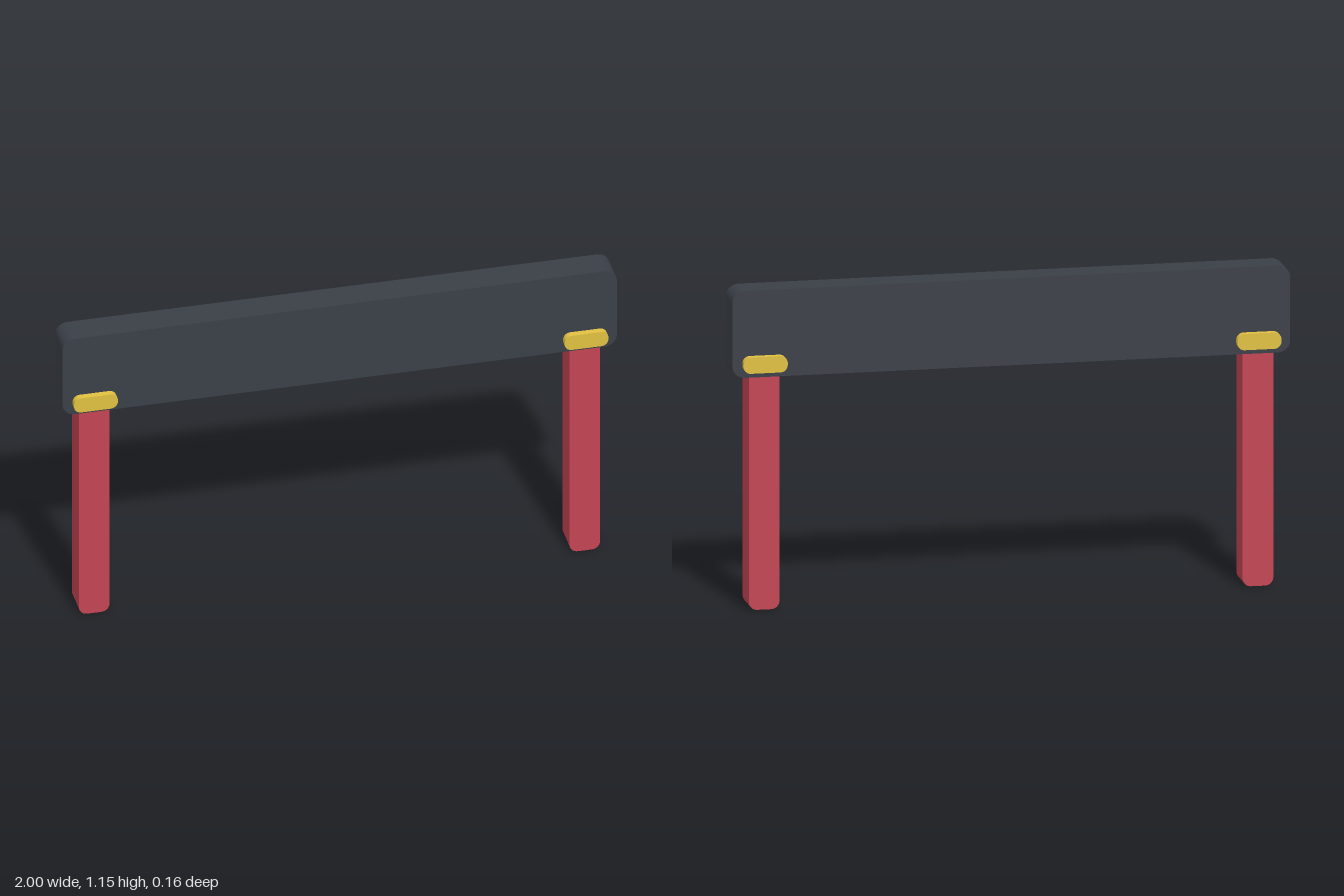
import * as THREE from 'three';

// Rounded rectangle in the front plane, extruded evenly about z = 0
function roundedSlab(name, w, h, r, depth, x, y, material) {
  const a = w / 2 - r, b = h / 2 - r;
  const shape = new THREE.Shape();
  shape.absarc(a, b, r, 0, Math.PI / 2);
  shape.absarc(-a, b, r, Math.PI / 2, Math.PI);
  shape.absarc(-a, -b, r, Math.PI, Math.PI * 1.5);
  shape.absarc(a, -b, r, Math.PI * 1.5, Math.PI * 2);
  const geometry = new THREE.ExtrudeGeometry(shape, { depth, bevelEnabled: false, curveSegments: 8 });
  geometry.translate(0, 0, -depth / 2);
  const mesh = new THREE.Mesh(geometry, material);
  mesh.name = name;
  mesh.position.set(x, y, 0);
  return mesh;
}

export function createModel() {
  const group = new THREE.Group();
  group.name = 'barrier';
  const dark = new THREE.MeshStandardMaterial({ color: 0x3a3f47 });
  const red = new THREE.MeshStandardMaterial({ color: 0xc24452 });
  const yellow = new THREE.MeshStandardMaterial({ color: 0xe0c040 });

  // Wide board
  group.add(roundedSlab('board', 2, 0.314, 0.045, 0.114, 0, 0.997, dark));

  // Legs, and the clamps that pass through the board above them
  for (const [side, s] of [['left', 1], ['right', -1]]) {
    group.add(roundedSlab(side + 'Leg', 0.11, 0.88, 0.03, 0.108, s * 0.885, 0.44, red));
    group.add(roundedSlab(side + 'Clamp', 0.158, 0.059, 0.026, 0.162, s * 0.885, 0.889, yellow));
  }
  return group;
}
